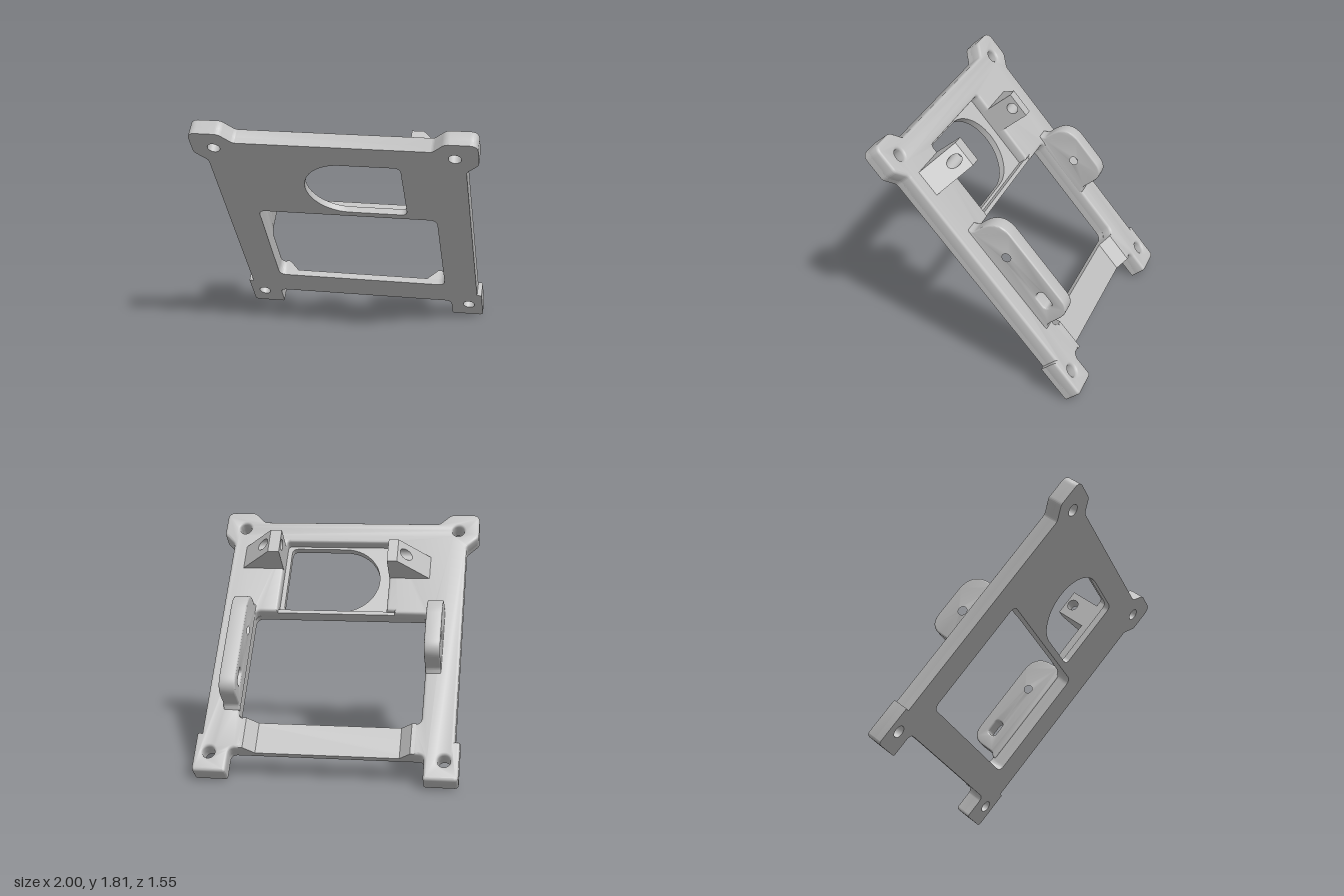
import * as THREE from 'three';
import { toCreasedNormals } from 'three/addons/utils/BufferGeometryUtils.js';

// Plate coordinates: x across, v up along the plate, w out of its rear face (w = -z).
const T = 0.13, STEP = 0.05;

// Closed path through [x, y, cornerRadius] points
function rounded(pts, path = new THREE.Shape()) {
  const n = pts.length;
  pts.forEach(([x, y, r = 0], i) => {
    const p = new THREE.Vector2(x, y);
    const toward = ([qx, qy]) => new THREE.Vector2(qx, qy).sub(p).normalize().multiplyScalar(r).add(p);
    const a = toward(pts[(i + n - 1) % n]), b = toward(pts[(i + 1) % n]);
    if (i === 0) path.moveTo(a.x, a.y); else path.lineTo(a.x, a.y);
    if (r > 0) path.quadraticCurveTo(x, y, b.x, b.y);
  });
  path.closePath();
  return path;
}

const mirrorX = (pts) => [...pts, ...pts.map(([x, y, r]) => [-x, y, r]).reverse()];

function circle(x, y, r) {
  return new THREE.Path().absarc(x, y, r, 0, Math.PI * 2, true);
}

function extrude(shape, depth, bevel = 0) {
  return new THREE.ExtrudeGeometry(shape, {
    depth: depth - 2 * bevel, curveSegments: 12, bevelEnabled: bevel > 0,
    bevelSize: bevel, bevelThickness: bevel, bevelOffset: -bevel, bevelSegments: 3,
  }).translate(0, 0, bevel);
}

// Shape in (x, v), spanning w0..w1
const slab = (shape, w0, w1, bevel) => extrude(shape, w1 - w0, bevel).translate(0, 0, -w1);

// Shape in (v, w), spanning x0..x1
function sideways(shape, x0, x1, bevel) {
  const m = new THREE.Matrix4().makeBasis(
    new THREE.Vector3(0, 1, 0), new THREE.Vector3(0, 0, -1), new THREE.Vector3(-1, 0, 0));
  return extrude(shape, x1 - x0, bevel).applyMatrix4(m).translate(x1, 0, 0);
}

export function createModel() {
  const model = new THREE.Group();
  const plate = new THREE.Group();
  plate.name = 'tiltedBracket';
  plate.rotation.x = THREE.MathUtils.degToRad(40);
  plate.position.set(0, 0, -0.68);
  model.add(plate);

  const grey = new THREE.MeshStandardMaterial({ color: 0xc0c0c0 });
  grey.name = 'light grey';
  const add = (name, geo) => {
    const mesh = new THREE.Mesh(toCreasedNormals(geo, 0.6), grey);
    mesh.name = name;
    plate.add(mesh);
  };

  // Right half of the outer outline, from bottom centre to top centre
  const outerHalf = [
    [0.70, 0.19, 0.05], [0.70, 0, 0.02], [0.945, 0, 0.03], [0.945, 0.30], [0.91, 0.30],
    [0.91, 1.96, 0.02], [1, 2.05, 0.02], [1, 2.265, 0.06], [0.78, 2.265, 0.03], [0.69, 2.175, 0.02],
  ];
  const boltHoles = (shape) => {
    for (const s of [-1, 1]) {
      shape.holes.push(circle(s * 0.84, 0.15, 0.045), circle(s * 0.84, 2.108, 0.045));
    }
  };

  // Front layer with the large window and the D-shaped opening
  const front = rounded(mirrorX(outerHalf));
  boltHoles(front);
  front.holes.push(rounded(mirrorX([[0.665, 0.43, 0.06], [0.665, 1.345, 0.06]]), new THREE.Path()));
  const opening = new THREE.Path();
  opening.moveTo(0.03, 1.395);
  opening.lineTo(0.405, 1.395);
  opening.quadraticCurveTo(0.455, 1.395, 0.455, 1.445);
  opening.lineTo(0.455, 1.92);
  opening.quadraticCurveTo(0.455, 1.97, 0.405, 1.97);
  opening.lineTo(0.03, 1.97);
  opening.absarc(0.03, 1.6825, 0.2875, Math.PI / 2, Math.PI * 1.5, false);
  front.holes.push(opening);
  add('frontPlate', slab(front, 0, STEP));

  // Rear layer: a frame open at the bottom bar, with the pocket around the opening
  const rear = rounded([
    [0.60, 0.19], ...outerHalf,
    ...outerHalf.map(([x, y, r]) => [-x, y, r]).reverse(), [-0.60, 0.19],
    [-0.60, 0.43], [-0.665, 0.43, 0.055], [-0.665, 1.345, 0.055], [-0.40, 1.345], [-0.40, 1.37],
    [-0.34, 1.37], [-0.34, 1.99, 0.03], [0.49, 1.99, 0.03], [0.49, 1.345],
    [0.665, 1.345, 0.055], [0.665, 0.43, 0.055], [0.60, 0.43],
  ]);
  boltHoles(rear);
  add('rearFrame', slab(rear, 0.02, T, 0.02));

  // Low rib between pocket and window
  add('pocketRib', new THREE.BoxGeometry(0.90, 0.03, 0.06).translate(0.045, 1.36, -0.07));

  // Ramps from the thin bottom bar up to the legs
  for (const s of [-1, 1]) {
    const ramp = rounded([[s * 0.63, T], [s * 0.60, T], [s * 0.52, STEP], [s * 0.63, STEP]]);
    const geo = extrude(ramp, 0.24).rotateX(-Math.PI / 2);
    add('barRamp', geo.translate(0, 0.19, 0));
  }

  // Side tabs with mounting holes
  const tabShape = (low) => {
    const shape = rounded([
      [low - 0.03, 0.10], [low - 0.03, T], [low, T + 0.03, 0.02], [low, 0.39, 0.12],
      [1.37, 0.39, 0.17], [1.37, T + 0.03, 0.02], [1.40, T], [1.40, 0.10],
    ]);
    shape.holes.push(circle(1.095, 0.246, 0.045));
    return shape;
  };
  const longTab = tabShape(0.52);
  longTab.holes.push(rounded([
    [0.625, 0.23, 0.033], [0.755, 0.23, 0.033], [0.755, 0.304, 0.033], [0.625, 0.304, 0.033],
  ], new THREE.Path()));
  add('leftTab', sideways(longTab, 0.66, 0.78, 0.012));
  add('rightTab', sideways(tabShape(0.87), -0.78, -0.665, 0.012));

  // Wedge bosses beside the pocket, outer face sloping down to the plate
  const TOP = 0.36;
  const boss = (name, s, inner, outer, v0, v1, holeV) => {
    const shape = rounded([[v0, STEP], [v1, STEP], [v1, TOP], [v0, TOP]]);
    shape.holes.push(circle(holeV, 0.30, 0.043));
    const geo = sideways(shape, Math.min(s * inner, s * outer), Math.max(s * inner, s * outer));
    const p = geo.attributes.position;
    for (let i = 0; i < p.count; i++) {
      if (Math.abs(p.getX(i)) > (inner + outer) / 2) p.setX(i, s * (outer + TOP + p.getZ(i)));
    }
    add(name, geo);
  };
  boss('leftBoss', 1, 0.49, 0.575, 1.73, 1.93, 1.835);
  boss('rightBoss', -1, 0.34, 0.415, 1.66, 1.855, 1.76);

  return model;
}
